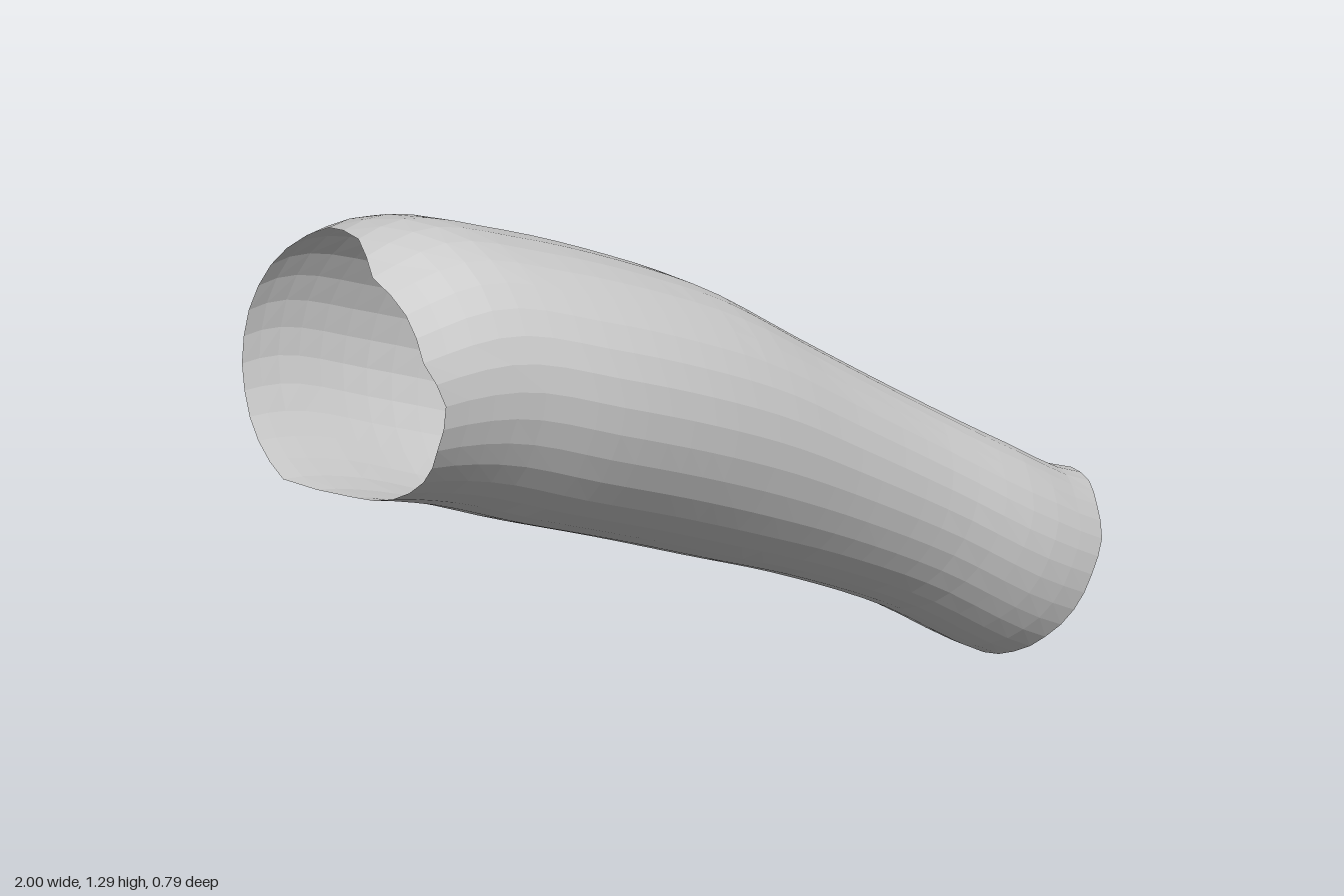
import * as THREE from 'three';
import { mergeVertices } from 'three/addons/utils/BufferGeometryUtils.js';

// Outline of the tube at nine even stations from x = -1 to x = 1
const TOP = [1.275, 1.295, 1.21, 1.10, 0.97, 0.80, 0.63, 0.465, 0.325];
const BOTTOM = [0.775, 0.705, 0.60, 0.50, 0.395, 0.29, 0.165, 0.005, -0.08];
const BACK = [-0.385, -0.40, -0.375, -0.31, -0.235, -0.145, -0.05, 0.03, 0.08];
const FRONT = [0.165, 0.21, 0.27, 0.30, 0.31, 0.315, 0.335, 0.385, 0.39];

// x of each ragged rim at 16 angles, starting at the front and turning over the top
const WIDE_RIM = [-0.96, -1, -0.98, -0.97, -0.88, -0.83, -0.84, -0.85,
  -0.87, -0.90, -0.94, -0.98, -0.90, -0.91, -0.93, -0.96];
const NARROW_RIM = [0.86, 0.91, 0.94, 0.98, 1, 0.98, 0.975, 0.96,
  0.93, 0.88, 0.83, 0.78, 0.75, 0.755, 0.78, 0.82];

// Smooth lookup of an outline at x
function outline(values) {
  const curve = new THREE.SplineCurve(values.map((v, i) => new THREE.Vector2(i, v)));
  return (x) => curve.getPoint(THREE.MathUtils.clamp((x + 1) / 2, 0, 1)).y;
}

// Linear lookup of a closed rim at an angle
function rimAt(rim, angle) {
  const n = rim.length;
  const f = ((angle / (2 * Math.PI)) * n + 2 * n) % n;
  const i = Math.floor(f);
  return THREE.MathUtils.lerp(rim[i % n], rim[(i + 1) % n], f - i);
}

export function createModel() {
  const group = new THREE.Group();
  const [top, bottom, back, front] = [TOP, BOTTOM, BACK, FRONT].map(outline);

  // Open cylinder bent to the outlines, with elliptical sections
  let geometry = new THREE.CylinderGeometry(1, 1, 1, 32, 28, true);
  geometry.deleteAttribute('uv');
  geometry.deleteAttribute('normal');
  geometry = mergeVertices(geometry);
  const pos = geometry.attributes.position;
  for (let i = 0; i < pos.count; i++) {
    const angle = Math.atan2(pos.getZ(i), pos.getX(i));
    const x = THREE.MathUtils.lerp(rimAt(WIDE_RIM, angle), rimAt(NARROW_RIM, angle), pos.getY(i) + 0.5);
    const y = (top(x) + bottom(x)) / 2 + ((top(x) - bottom(x)) / 2) * Math.sin(angle);
    const z = (front(x) + back(x)) / 2 + ((front(x) - back(x)) / 2) * Math.cos(angle);
    pos.setXYZ(i, x, y, z);
  }
  geometry.computeVertexNormals();

  const material = new THREE.MeshStandardMaterial({
    color: 0xcccccc, flatShading: true, side: THREE.DoubleSide,
  });
  const sleeve = new THREE.Mesh(geometry, material);
  sleeve.name = 'forearmSleeve';
  group.add(sleeve);
  return group;
}
